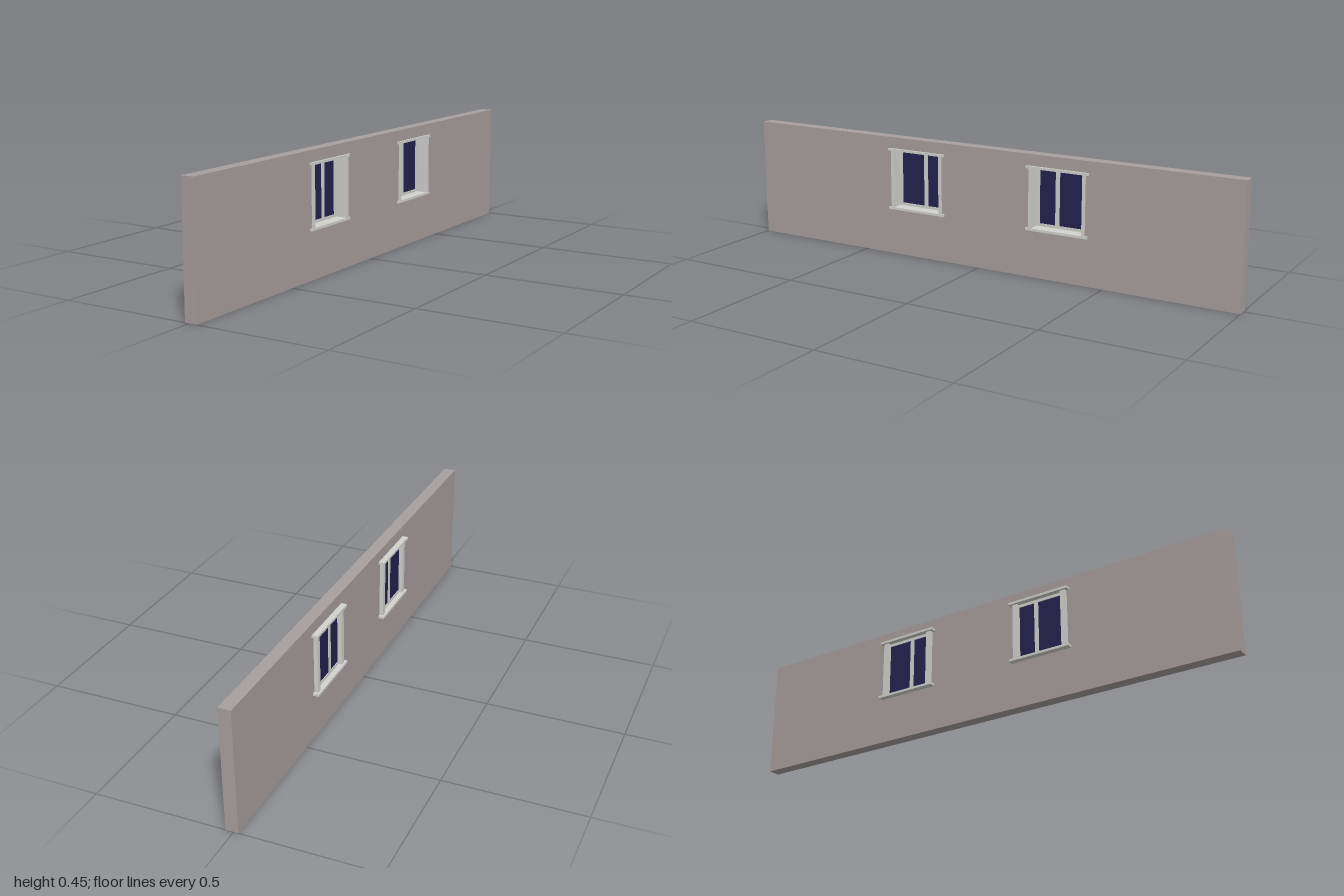
import * as THREE from 'three';

const wallMat = new THREE.MeshStandardMaterial({ color: 0xa89f9e });
wallMat.name = 'wall plaster';
const trimMat = new THREE.MeshStandardMaterial({ color: 0xd2d2ce });
trimMat.name = 'pale trim';
const glassMat = new THREE.MeshStandardMaterial({ color: 0x24224f });
glassMat.name = 'dark blue glass';

// Box given by its limits on each axis
function slab(name, mat, [x0, x1], [y0, y1], [z0, z1]) {
  const mesh = new THREE.Mesh(new THREE.BoxGeometry(x1 - x0, y1 - y0, z1 - z0), mat);
  mesh.position.set((x0 + x1) / 2, (y0 + y1) / 2, (z0 + z1) / 2);
  mesh.name = name;
  return mesh;
}

// Closed rectangle, for the wall outline and its openings
function rect(path, u0, u1, v0, v1) {
  path.moveTo(u0, v0);
  path.lineTo(u1, v0);
  path.lineTo(u1, v1);
  path.lineTo(u0, v1);
  path.closePath();
  return path;
}

// Window centred on z = 0; dir sets which way the mullion is offset
function buildWindow(name, dir) {
  const g = new THREE.Group();
  g.name = name;

  // sill and lintel pass through the wall
  g.add(slab('sill', trimMat, [-0.038, 0.037], [0.174, 0.183], [-0.122, 0.122]));
  g.add(slab('lintel', trimMat, [-0.038, 0.037], [0.4, 0.409], [-0.122, 0.122]));

  for (const s of [-1, 1]) {
    const span = (a, b) => [Math.min(s * a, s * b), Math.max(s * a, s * b)];
    // jamb lines the reveal; a wider post sits on the -x face
    g.add(slab('jamb', trimMat, [-0.018, 0.037], [0.183, 0.4], span(0.1, 0.11)));
    g.add(slab('post', trimMat, [-0.03, -0.018], [0.183, 0.4], span(0.09, 0.11)));
    g.add(slab('frameStile', trimMat, [-0.018, -0.008], [0.183, 0.4], span(0.088, 0.1)));
  }

  // sash frame, mullion and glass
  g.add(slab('frameBottomRail', trimMat, [-0.018, -0.008], [0.183, 0.193], [-0.088, 0.088]));
  g.add(slab('frameTopRail', trimMat, [-0.018, -0.008], [0.389, 0.4], [-0.088, 0.088]));
  const m = dir * 0.017;
  g.add(slab('mullion', trimMat, [-0.018, -0.008], [0.193, 0.389], [m - 0.008, m + 0.008]));
  g.add(slab('glass', glassMat, [-0.015, -0.011], [0.193, 0.389], [-0.088, 0.088]));
  return g;
}

export function createModel() {
  const model = new THREE.Group();
  model.name = 'wallWithWindows';
  const windows = [
    { name: 'frontWindow', z: 0.269, dir: -1 },
    { name: 'rearWindow', z: -0.319, dir: 1 },
  ];

  // wall outline lies in z and y, extruded along x
  const outline = rect(new THREE.Shape(), -1, 1, 0, 0.451);
  for (const w of windows) {
    outline.holes.push(rect(new THREE.Path(), w.z - 0.105, w.z + 0.105, 0.179, 0.404));
    const win = buildWindow(w.name, w.dir);
    win.position.z = w.z;
    model.add(win);
  }
  const geo = new THREE.ExtrudeGeometry(outline, { depth: 0.045, bevelEnabled: false });
  geo.rotateY(-Math.PI / 2);
  geo.translate(0.029, 0, 0);
  const wall = new THREE.Mesh(geo, wallMat);
  wall.name = 'wall';
  model.add(wall);
  return model;
}
